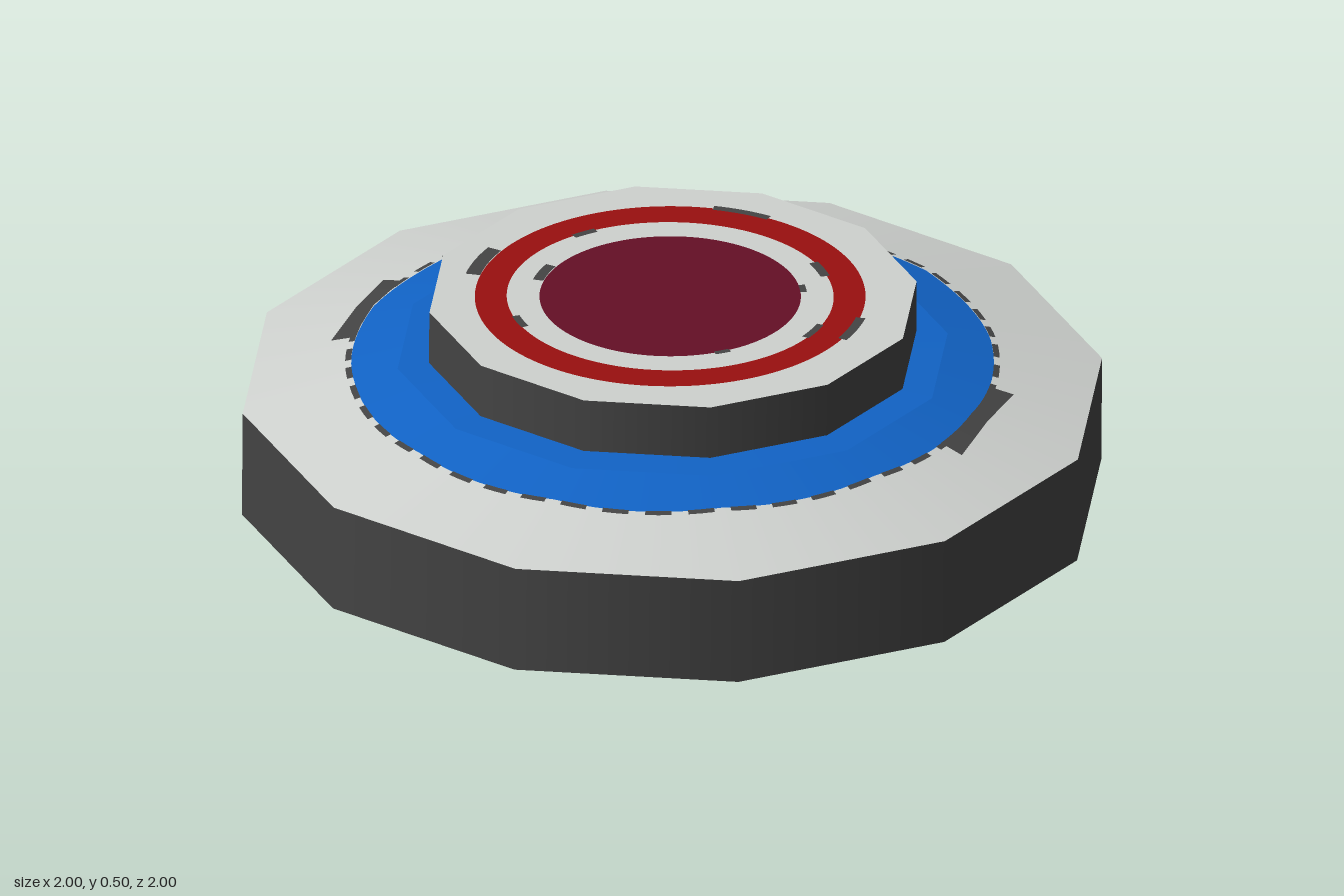
import * as THREE from 'three';

const paint = (name, color) => Object.assign(new THREE.MeshStandardMaterial({ color }), { name });
const STEP = Math.PI / 6;

// Radius factor of a 12-sided outline at angle a
const poly = (a) => {
  const t = ((a % STEP) + STEP) % STEP;
  return Math.cos(STEP / 2) / Math.cos(t - STEP / 2);
};
const polygon = (r) => (a) => r * poly(a);
const ellipse = (rx, rz = rx) => (a) => 1 / Math.hypot(Math.cos(a) / rx, Math.sin(a) / rz);

// Height of the sloping shoulder, then of the nearly flat crown
const shoulder = (r, a) => {
  const e = r / poly(a);
  return e > 0.64 ? 0.26 + (1 - e) * 0.25 : 0.35 + (0.64 - e) * 0.04;
};
const DISC_TOP = 0.49;
const flat = () => DISC_TOP;

// Ring surface between two outlines, laid on a height rule
function band(name, mat, inner, outer, height, { from = 0, to = Math.PI * 2, lift = 0, slope = 0, cx = 0 } = {}) {
  const n = Math.max(2, Math.round((to - from) / (Math.PI * 2) * 144));
  const pos = [], nor = [], idx = [];
  for (let i = 0; i <= n; i++) {
    const a = from + (to - from) * i / n, c = Math.cos(a), s = Math.sin(a);
    const k = Math.hypot(1, slope);
    for (const edge of [inner, outer]) {
      const r = edge(a);
      pos.push(r * c + cx, height(r, a) + lift, r * s);
      nor.push(c * slope / k, 1 / k, s * slope / k);
    }
    if (i < n) {
      const j = i * 2;
      idx.push(j, j + 2, j + 1, j + 1, j + 2, j + 3);
    }
  }
  const g = new THREE.BufferGeometry();
  g.setAttribute('position', new THREE.Float32BufferAttribute(pos, 3));
  g.setAttribute('normal', new THREE.Float32BufferAttribute(nor, 3));
  g.setIndex(idx);
  const mesh = new THREE.Mesh(g, mat);
  mesh.name = name;
  return mesh;
}

export function createModel() {
  const dark = paint('charcoal', 0x444444);
  const grey = paint('lightGrey', 0xcfd2cf);
  const blue = paint('blue', 0x1163c6);
  const red = paint('red', 0x9a0f0f);
  const maroon = paint('maroon', 0x650f26);

  const model = new THREE.Group();
  model.name = 'steppedDisc';
  const body = new THREE.Group();
  body.name = 'body';
  model.add(body);

  const wall = (name, r, y0, y1) => {
    const m = new THREE.Mesh(new THREE.CylinderGeometry(r, r, y1 - y0, 12, 1, true), dark);
    m.position.y = (y0 + y1) / 2;
    m.name = name;
    const under = new THREE.Mesh(new THREE.CircleGeometry(r, 12), dark);
    under.rotation.x = Math.PI / 2;
    under.position.y = y0;
    under.name = name + 'Underside';
    body.add(m, under);
  };

  // Base wall, grey shoulder and blue crown
  wall('baseWall', 1, 0, 0.26);
  const blueEdge = ellipse(0.737, 0.752);
  body.add(
    band('greyShoulder', grey, blueEdge, polygon(1), shoulder, { slope: 0.25 }),
    band('blueSlope', blue, polygon(0.64), blueEdge, shoulder, { slope: 0.25 }),
    band('blueCrown', blue, polygon(0), polygon(0.64), shoulder, { slope: 0.04 }),
  );

  // Broken dark outline around the blue crown
  for (let i = 0; i < 48; i++) {
    const a = (i + 0.2) * Math.PI / 24;
    body.add(band('crownOutlineDash', dark, blueEdge, (t) => blueEdge(t) + 0.014, shoulder,
      { from: a, to: a + 0.08, lift: 0.002, slope: 0.25 }));
  }
  for (const a of [0, Math.PI]) {
    body.add(band('crownSideMark', dark, blueEdge, (t) => 0.778 / Math.abs(Math.cos(t)), shoulder,
      { from: a - 0.21, to: a + 0.21, lift: 0.003, slope: 0.25 }));
  }

  // Upper disc with its painted target
  wall('discWall', 0.567, 0.36, DISC_TOP);
  const cx = -0.007;
  body.add(
    band('targetCentre', maroon, ellipse(1e-5), ellipse(0.3, 0.305), flat, { cx }),
    band('targetGap', grey, ellipse(0.3, 0.305), ellipse(0.376), flat, { cx }),
    band('targetRing', red, ellipse(0.376), ellipse(0.448, 0.458), flat, { cx }),
    band('discRim', grey, ellipse(0.44), polygon(0.567), () => DISC_TOP - 0.001),
  );

  // Small dark marks on the target edges: angle, half width, inner and outer radius
  const marks = [
    [Math.PI, 0.15, 0.448, 0.482], [0, 0.13, 0.44, 0.462], [-Math.PI / 2, 0.15, 0.447, 0.467],
    [Math.PI, 0.13, 0.3, 0.325], [-0.75, 0.1, 0.36, 0.382], [0.12, 0.1, 0.365, 0.382],
    [2.4, 0.08, 0.362, 0.38], [-2.5, 0.08, 0.362, 0.38], [0.8, 0.06, 0.3, 0.315], [-0.5, 0.06, 0.3, 0.315],
  ];
  for (const [a, w, r0, r1] of marks) {
    body.add(band('targetMark', dark, ellipse(r0), ellipse(r1), flat, { from: a - w, to: a + w, lift: 0.002, cx }));
  }

  // Slight lean to the right
  body.rotation.z = -0.007;
  body.position.y = 0.007;
  return model;
}
